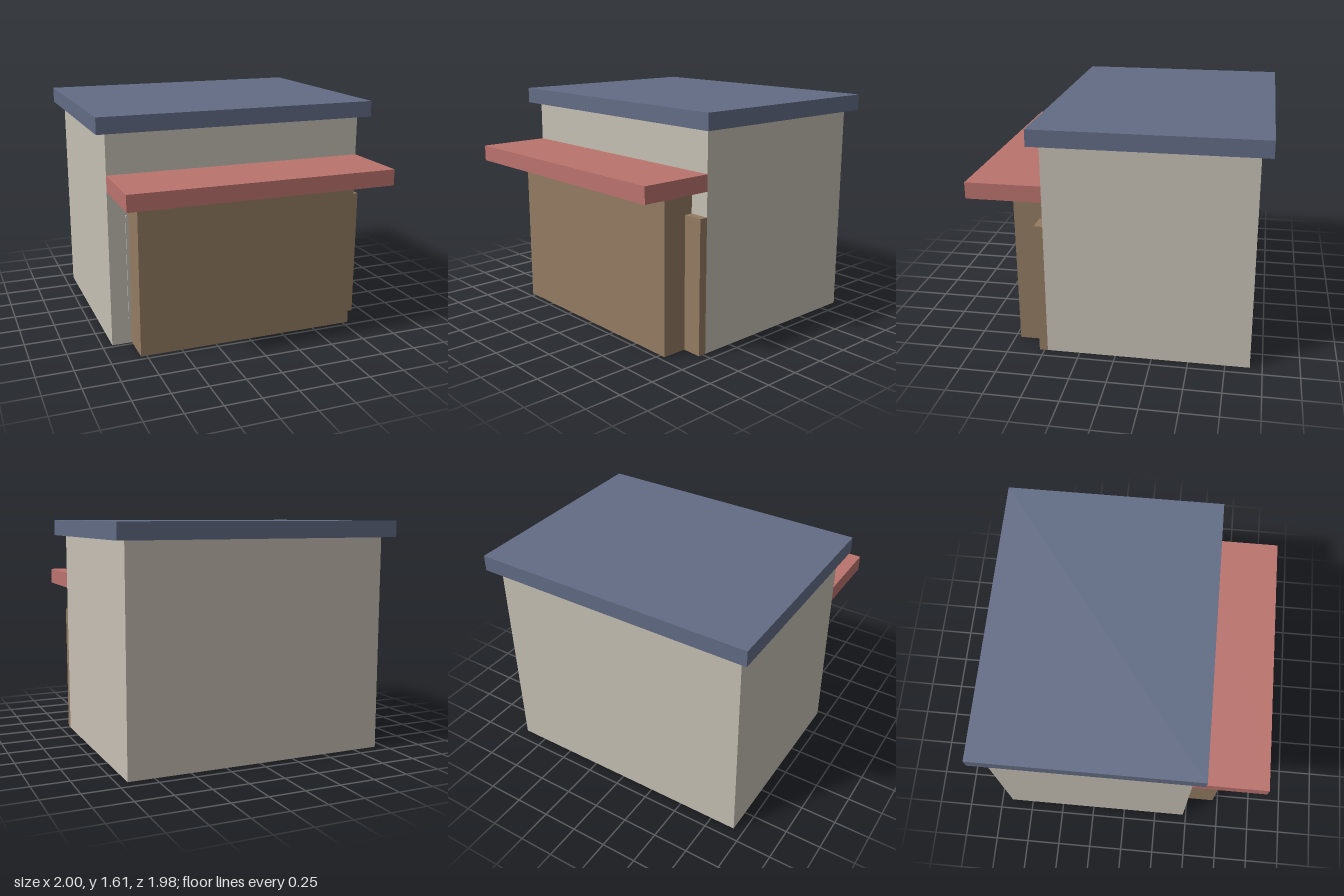
import * as THREE from 'three';

const material = (name, color) => {
  const m = new THREE.MeshStandardMaterial({ color });
  m.name = name;
  return m;
};

export function createModel() {
  const wall = material('warm grey wall', 0xc6c0b4);
  const wood = material('brown wood', 0x937b62);
  const slate = material('slate blue roof', 0x626c85);
  const red = material('faded red awning', 0xbb736e);

  const group = new THREE.Group();
  group.name = 'shopBuilding';

  // Box given by its min and max on each axis
  const block = (name, mat, [x0, x1], [y0, y1], [z0, z1]) => {
    const mesh = new THREE.Mesh(new THREE.BoxGeometry(x1 - x0, y1 - y0, z1 - z0), mat);
    mesh.position.set((x0 + x1) / 2, (y0 + y1) / 2, (z0 + z1) / 2);
    mesh.name = name;
    group.add(mesh);
  };

  const front = 0.477; // front wall plane

  // Main volume and overhanging flat roof
  block('walls', wall, [-0.93, 0.93], [0, 1.495], [-0.917, front]);
  block('roof', slate, [-1, 1], [1.495, 1.607], [-0.99, 0.545]);

  // Shop front: awning over a deep counter, with a door and window panel behind
  block('awning', red, [-0.93, 0.93], [1.098, 1.21], [front, 0.99]);
  block('counter', wood, [-0.79, 0.79], [0, 1.098], [front, 0.712]);
  block('door', wood, [0.56, 0.93], [0, 0.93], [front, 0.535]);
  block('windowPanel', wall, [-0.81, 0.4], [0.187, 0.93], [front, 0.486]);

  return group;
}
